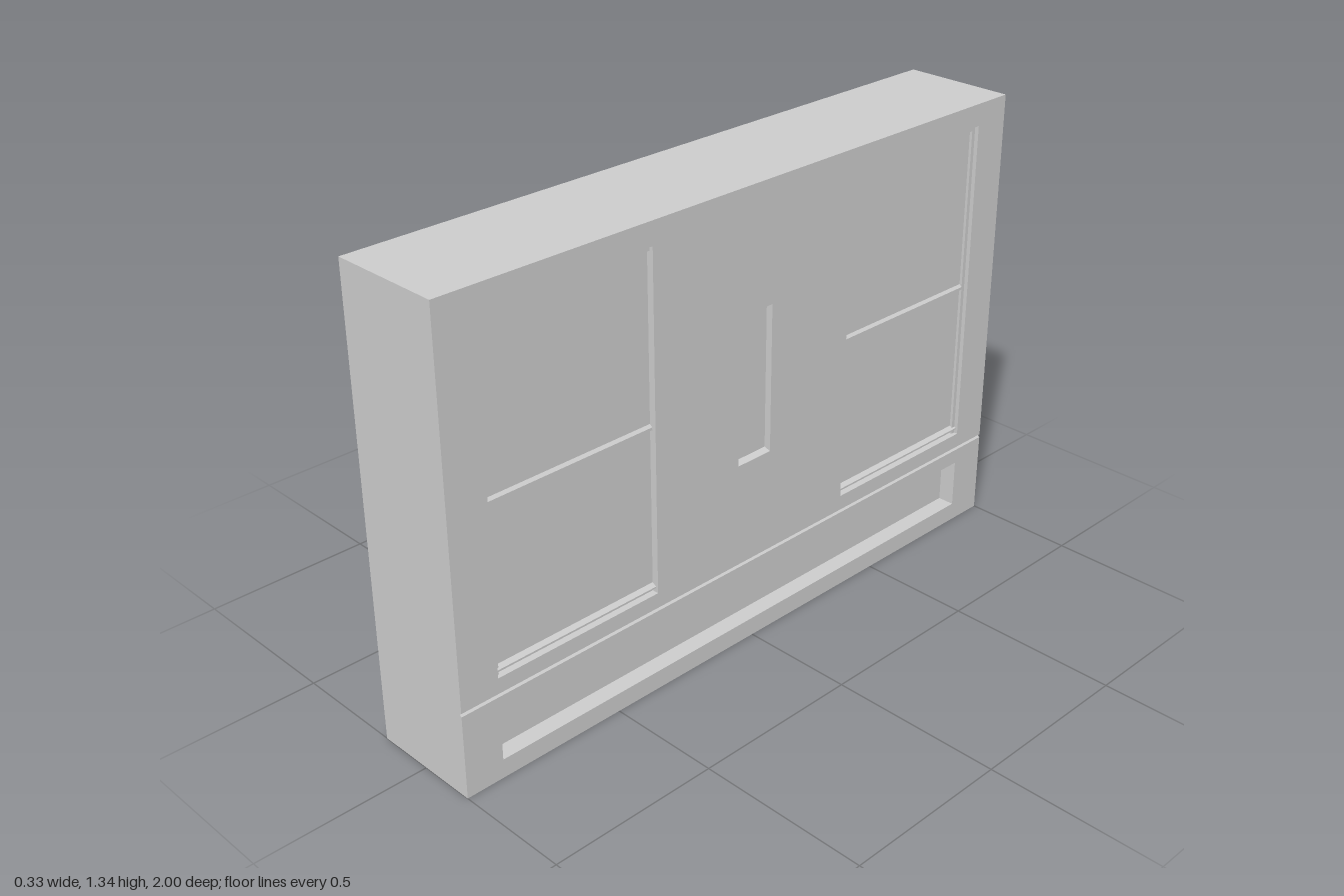
import * as THREE from 'three';

const FRONT = 0.167, HEIGHT = 1.335, SEAM = 0.25, DEPTH = 0.02;
const material = new THREE.MeshStandardMaterial({ color: 0xcccccc, flatShading: true });

function add(parent, name, geometry) {
  const mesh = new THREE.Mesh(geometry, material);
  mesh.name = name;
  parent.add(mesh);
  return mesh;
}

// Box given by its limits
function box(x0, x1, y0, y1, z0, z1) {
  return new THREE.BoxGeometry(x1 - x0, y1 - y0, z1 - z0)
    .translate((x0 + x1) / 2, (y0 + y1) / 2, (z0 + z1) / 2);
}

// Cross-section in x and y, drawn out from z0 to z1
function prism(points, z0, z1) {
  const shape = new THREE.Shape(points.map(([x, y]) => new THREE.Vector2(x, y)));
  return new THREE.ExtrudeGeometry(shape, { depth: z1 - z0, bevelEnabled: false }).translate(0, 0, z0);
}

function rectangle(target, u0, u1, y0, y1) {
  return target.moveTo(u0, y0).lineTo(u1, y0).lineTo(u1, y1).lineTo(u0, y1).closePath();
}

export function createModel() {
  const model = new THREE.Group();
  model.name = 'wallBlock';
  const back = FRONT - DEPTH;

  // Upper wall: solid core with a pierced facing on the +x side
  add(model, 'wallCore', box(-FRONT, back, SEAM, HEIGHT, -1, 1));
  const face = rectangle(new THREE.Shape(), -1, 1, SEAM + 0.005, HEIGHT);
  const openings = [[-0.885, -0.355, 0.3, 1.27], [0.355, 0.885, 0.3, 1.27], [-0.06, 0.06, 0.56, 0.99]];
  for (const o of openings) face.holes.push(rectangle(new THREE.Path(), ...o));
  add(model, 'wallFacing', new THREE.ExtrudeGeometry(face, { depth: DEPTH, bevelEnabled: false })
    .rotateY(Math.PI / 2).translate(back, 0, 0));

  // Sloped ends of the central slot
  for (const [y, s] of [[0.56, 1], [0.99, -1]]) {
    const pts = [[back, y], [FRONT, y], [back, y + s * 0.006]];
    add(model, 'slotEnd', prism(pts, -0.06, 0.06));
  }

  // Windows: outer jamb, head, sill and middle rail
  for (const side of [-1, 1]) {
    const win = new THREE.Group();
    win.name = side > 0 ? 'frontWindow' : 'backWindow';
    const [z0, z1] = side > 0 ? [0.355, 0.885] : [-0.885, -0.355];
    const jamb = side > 0 ? [0.873, 0.885] : [-0.885, -0.873];
    add(win, 'jamb', box(back, back + 0.008, 0.3, 1.27, ...jamb));
    add(win, 'head', box(back, back + 0.008, 1.255, 1.27, z0, z1));
    add(win, 'sill', prism([[back, 0.305], [back + 0.013, 0.313], [back + 0.013, 0.317], [back, 0.325]], z0, z1));
    add(win, 'middleRail', prism([[back, 0.77], [back + 0.008, 0.775], [back + 0.008, 0.783], [back, 0.79]], z0, z1));
    model.add(win);
  }

  // Base with a grooved top edge and a long recess under a sloping soffit
  const top = [[FRONT, SEAM - 0.005], [FRONT - 0.006, SEAM], [FRONT, SEAM + 0.005], [-FRONT, SEAM + 0.005]];
  const inner = FRONT - 0.05;
  const recess = [[-FRONT, 0], [FRONT, 0], [FRONT, 0.055], [inner, 0.055], [inner, 0.165]];
  const profiles = {
    solid: [[-FRONT, 0], [FRONT, 0], ...top],
    recess: [...recess, [FRONT, 0.2], ...top],
    // Notch cut up into the soffit
    vent: [...recess, [FRONT - 0.043, 0.17], [FRONT - 0.043, 0.19], [FRONT - 0.014, 0.19], [FRONT, 0.2], ...top],
  };
  const sections = [
    ['solid', -1, -0.885], ['recess', -0.885, -0.865], ['vent', -0.865, -0.355], ['recess', -0.355, 0.355],
    ['vent', 0.355, 0.865], ['recess', 0.865, 0.885], ['solid', 0.885, 1],
  ];
  const base = new THREE.Group();
  base.name = 'base';
  for (const [kind, z0, z1] of sections) add(base, kind + 'Section', prism(profiles[kind], z0, z1));
  model.add(base);

  model.position.y = 0;
  return model;
}
